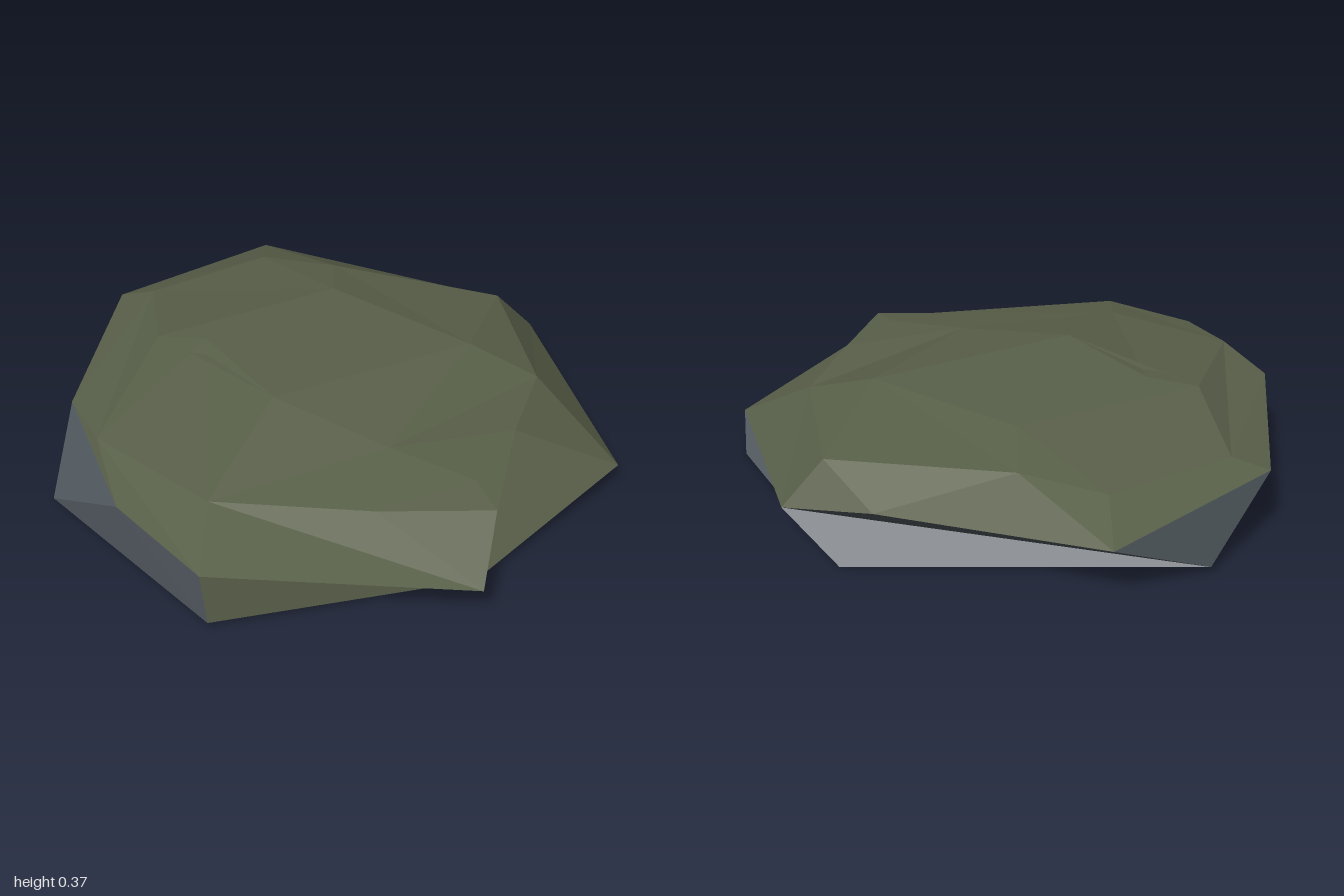
import * as THREE from 'three';

// Low-poly flat boulder: four irregular rings joined by triangle bands.
// Every ring has 11 columns, running back -> right -> front -> left;
// repeated points let a band narrow to a single triangle.
const A = (x, y, z) => new THREE.Vector3(x, y, z);

// Shared corners
const baseBack = A(0.36, 0.02, -0.95), baseFront = A(-0.32, 0.02, 0.87), baseLeft = A(-0.83, 0.02, -0.54);
const leftShoulder = A(-0.73, 0.285, -0.4);
const peak = A(-0.28, 0.37, 0.01), ridgeBack = A(-0.2, 0.345, -0.58), ridgeMid = A(-0.13, 0.364, -0.41);
const ridgeRight = A(0.43, 0.355, -0.25), ridgeFront = A(0.41, 0.36, 0.37), dip = A(-0.22, 0.315, 0.45);

// Foot of the side walls
const base = [
  baseBack, baseBack, baseBack, A(1, 0, 0.05), A(0.58, 0, 0.85), baseFront,
  baseFront, baseFront, A(-0.995, 0.02, 0.29), baseLeft, baseLeft,
];
// Border between bare stone and moss
const rim = [
  A(0.05, 0.245, -0.99), A(0.73, 0.21, -0.81), A(0.93, 0.19, -0.04), A(0.975, 0.125, 0.31),
  A(0.43, 0.08, 0.99), baseFront, A(-0.24, 0.27, 0.885), A(-0.48, 0.155, 0.99),
  A(-1, 0.21, 0.27), A(-0.925, 0.24, -0.14), A(-0.6, 0.26, -0.64),
];
const shoulder = [
  A(0.1, 0.28, -0.87), A(0.55, 0.285, -0.68), A(0.63, 0.31, -0.39), A(0.86, 0.28, 0.22),
  A(0.47, 0.285, 0.62), A(0.13, 0.3, 0.73), A(-0.17, 0.29, 0.76), A(-0.47, 0.265, 0.57),
  A(-0.76, 0.275, 0.11), leftShoulder, leftShoulder,
];
const crown = [
  ridgeBack, ridgeRight, ridgeRight, ridgeFront, ridgeFront, dip,
  dip, dip, peak, ridgeMid, ridgeBack,
];

// Triangles between two rings; columns listed in flip use the other diagonal
function band(lower, upper, flip = []) {
  const tris = [];
  lower.forEach((o0, i) => {
    const j = (i + 1) % lower.length;
    const o1 = lower[j], n0 = upper[i], n1 = upper[j];
    if (flip.includes(i)) tris.push([o1, o0, n0], [o1, n0, n1]);
    else tris.push([o1, o0, n1], [o0, n0, n1]);
  });
  return tris;
}

// Fan closing a ring; up chooses which way it faces
function cap(ring, centre, up) {
  return ring.map((p, i) => {
    const q = ring[(i + 1) % ring.length];
    return up ? [q, p, centre] : [p, q, centre];
  });
}

// Unshared corners give flat facets; triangles without area are dropped
function facets(name, tris, material) {
  const points = tris.filter((t) => new THREE.Triangle(...t).getArea() > 1e-5).flat();
  const geometry = new THREE.BufferGeometry().setFromPoints(points);
  geometry.computeVertexNormals();
  const mesh = new THREE.Mesh(geometry, material);
  mesh.name = name;
  return mesh;
}

export function createModel() {
  const moss = new THREE.MeshStandardMaterial({ color: 0x596049 });
  moss.name = 'moss green';
  const stone = new THREE.MeshStandardMaterial({ color: 0x535b61 });
  stone.name = 'slate grey';

  // Side walls, with one mossy facet low on the front left
  const walls = band(base, rim);
  const isMossy = (t) => t.includes(rim[8]) && t.includes(base[8]) && t.includes(baseFront);

  // Slightly inset flat sole
  const sole = base.map((p) => A(p.x * 0.95, 0, p.z * 0.95));

  const group = new THREE.Group();
  group.name = 'flatRock';
  group.add(
    facets('stoneSides', walls.filter((t) => !isMossy(t)), stone),
    facets('stoneUnderside', [...band(sole, base), ...cap(sole, A(0, 0, 0), false)], stone),
    facets('mossSides', [...walls.filter(isMossy), ...band(rim, shoulder, [5])], moss),
    facets('mossTop', [...band(shoulder, crown, [7]), ...cap(crown, peak, true)], moss),
  );
  return group;
}
